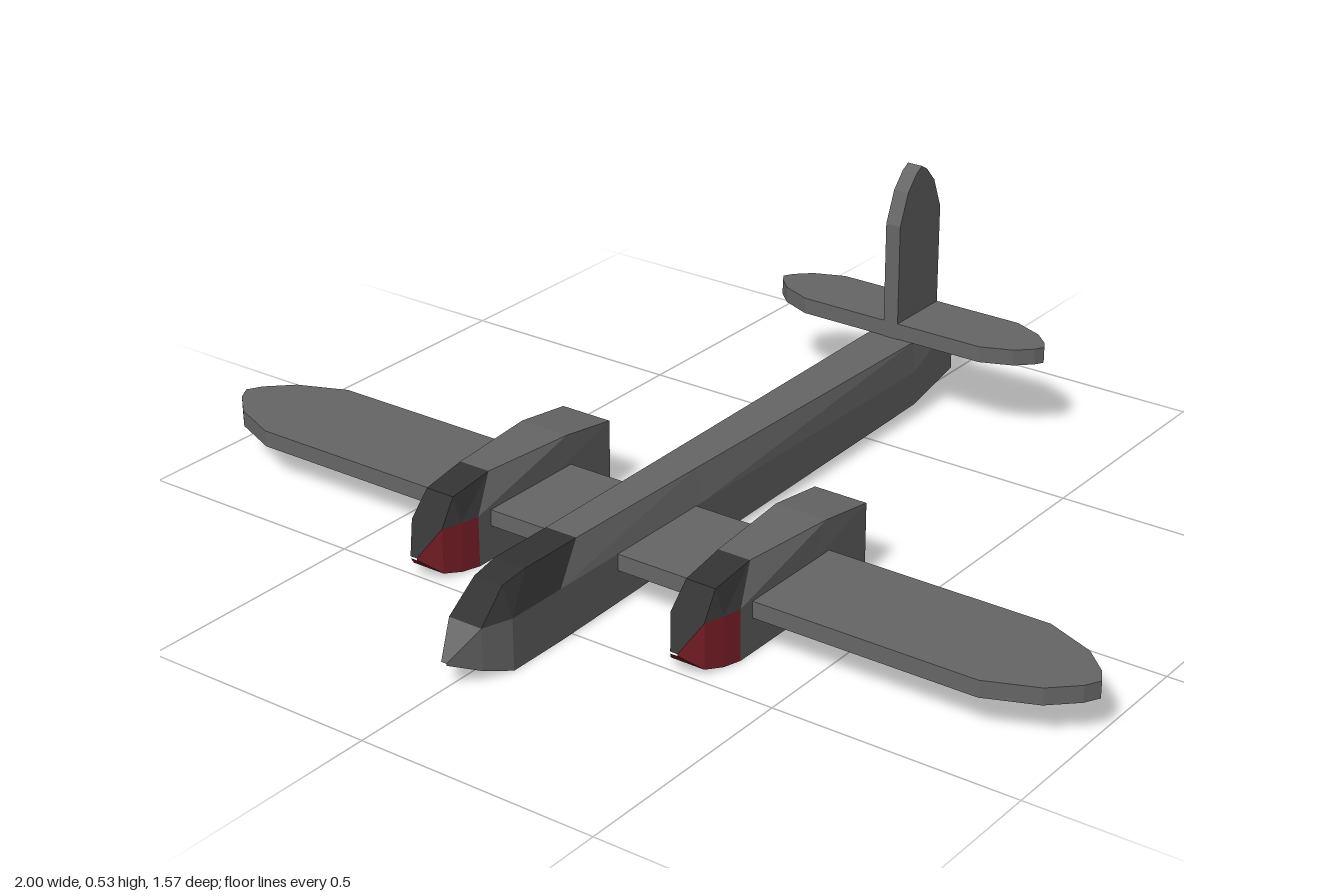
import * as THREE from 'three';

const paint = (color) => new THREE.MeshStandardMaterial({ color, flatShading: true });

// Cross-section: belt z, top z, half-width at belt, half-width at top, then top, belt and bottom heights
const section = (z, zTop, w, t, yTop, yBelt, yBot) => ({
  upper: [[w, yBelt, z], [t, yTop, zTop], [-t, yTop, zTop], [-w, yBelt, z]],
  lower: [[-w, yBelt, z], [-w, yBot, z], [w, yBot, z], [w, yBelt, z]],
});

function meshFrom(name, triangles, material) {
  const geometry = new THREE.BufferGeometry();
  geometry.setAttribute('position', new THREE.Float32BufferAttribute(triangles.flat(), 3));
  geometry.computeVertexNormals();
  const mesh = new THREE.Mesh(geometry, material);
  mesh.name = name;
  return mesh;
}

// Skin over the upper or lower half of a run of sections, ordered front to back
function skin(name, sections, half, material) {
  const tris = [];
  for (let i = 0; i + 1 < sections.length; i++) {
    const front = sections[i][half], back = sections[i + 1][half];
    for (let j = 0; j < 3; j++) {
      tris.push(front[j], back[j + 1], front[j + 1], front[j], back[j], back[j + 1]);
    }
  }
  return meshFrom(name, tris, material);
}

// Flat rear end of a body
function endCap(name, s, material) {
  const ring = [...s.upper, ...s.lower.slice(1, 3)];
  const tris = [];
  for (let j = 1; j + 1 < ring.length; j++) tris.push(ring[0], ring[j + 1], ring[j]);
  return meshFrom(name, tris, material);
}

// Outline of a rounded tip: span runs from the corner to the end, half chord shrinks to a point
const tip = (corner, end, chord) => [
  [0, 1], [0.6, 0.65], [0.9, 0.25], [1, 0], [0.9, -0.25], [0.6, -0.65], [0, -1],
].map(([u, v]) => new THREE.Vector2(corner + (end - corner) * u, v * chord));

function slab(points, depth) {
  const geometry = new THREE.ExtrudeGeometry(new THREE.Shape(points), { depth, bevelEnabled: false });
  return geometry.translate(0, 0, -depth / 2);
}

// Horizontal surface with the same tip on both sides
function plane(name, corner, end, chord, thickness, y, z, material) {
  const right = tip(corner, end, chord);
  const left = right.map((p) => new THREE.Vector2(-p.x, -p.y));
  const mesh = new THREE.Mesh(slab([...right, ...left], thickness).rotateX(Math.PI / 2), material);
  mesh.name = name;
  mesh.position.set(0, y, z);
  return mesh;
}

export function createModel() {
  const model = new THREE.Group();
  model.name = 'aeroplane';
  const grey = paint(0x666666);
  const dark = paint(0x333333);
  const red = paint(0x7d1f28);

  // Fuselage with a dark canopy that slopes at its rear edge
  const body = [
    section(0.785, 0.785, 0.006, 0.006, 0.052, 0.052, 0.048),
    section(0.725, 0.725, 0.037, 0.037, 0.105, 0.105, 0.02),
    section(0.665, 0.66, 0.058, 0.032, 0.16, 0.105, 0),
    section(0.6, 0.6, 0.058, 0.035, 0.17, 0.105, 0),
    section(0.53, 0.455, 0.058, 0.035, 0.17, 0.105, 0),
    section(0.1, 0.1, 0.058, 0.04, 0.17, 0.105, 0.012),
    section(-0.64, -0.64, 0.058, 0.052, 0.17, 0.105, 0.03),
    section(-0.785, -0.785, 0.058, 0.058, 0.17, 0.105, 0.062),
  ];
  const fuselage = new THREE.Group();
  fuselage.name = 'fuselage';
  fuselage.add(
    skin('noseTop', body.slice(0, 2), 'upper', grey),
    skin('canopy', body.slice(1, 5), 'upper', dark),
    skin('fuselageTop', body.slice(4), 'upper', grey),
    skin('fuselageBelly', body, 'lower', grey),
    endCap('fuselageEnd', body[body.length - 1], grey),
  );
  model.add(fuselage);

  // Engine nacelles with dark upper and red lower noses
  const pod = [
    section(0.52, 0.52, 0.008, 0.008, 0.052, 0.052, 0.048),
    section(0.48, 0.48, 0.037, 0.037, 0.105, 0.105, 0.012),
    section(0.44, 0.44, 0.05, 0.032, 0.155, 0.105, 0.003),
    section(0.4, 0.34, 0.058, 0.035, 0.17, 0.105, 0),
    section(0.17, 0.13, 0.058, 0.056, 0.17, 0.105, 0),
    section(0, 0, 0.058, 0.058, 0.152, 0.105, 0.02),
  ];
  for (const [name, x] of [['leftEngine', 0.303], ['rightEngine', -0.303]]) {
    const engine = new THREE.Group();
    engine.name = name;
    engine.position.x = x;
    engine.add(
      skin('engineNoseTop', pod.slice(0, 4), 'upper', dark),
      skin('engineNoseBottom', pod.slice(0, 4), 'lower', red),
      skin('engineTop', pod.slice(3), 'upper', grey),
      skin('engineBottom', pod.slice(3), 'lower', grey),
      endCap('engineEnd', pod[pod.length - 1], grey),
    );
    model.add(engine);
  }

  // Wing and tailplane
  model.add(plane('wing', 0.83, 1, 0.121, 0.034, 0.088, 0.243, grey));
  model.add(plane('tailplane', 0.215, 0.323, 0.076, 0.034, 0.188, -0.71, grey));

  // Upright tail fin
  const finOutline = [new THREE.Vector2(0.17, -0.076), new THREE.Vector2(0.17, 0.076), ...tip(0.42, 0.53, 0.076)];
  const fin = new THREE.Mesh(slab(finOutline, 0.034).rotateZ(Math.PI / 2).rotateY(Math.PI / 2), grey);
  fin.name = 'tailFin';
  fin.position.z = -0.71;
  model.add(fin);

  return model;
}
